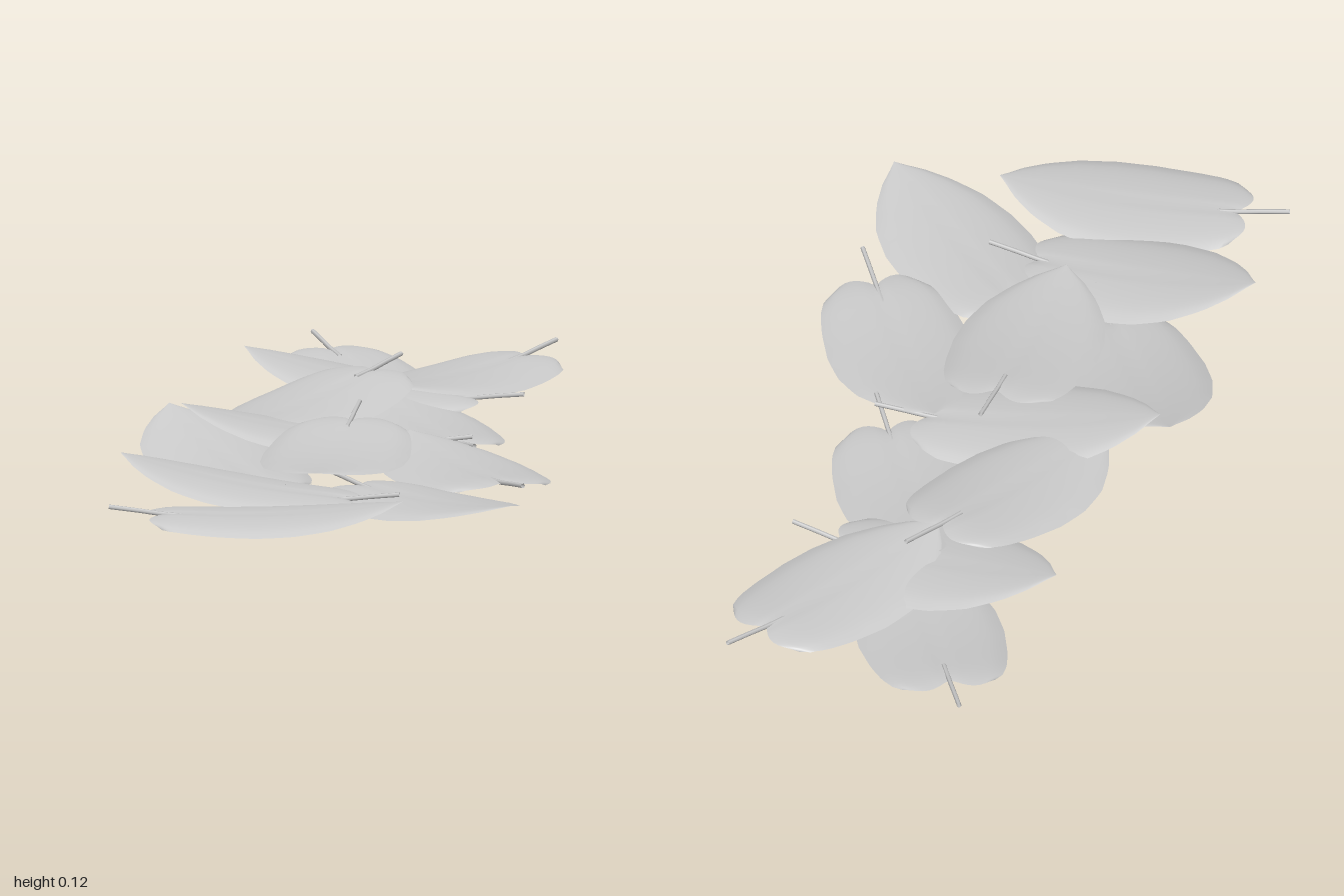
import * as THREE from 'three';

const ROWS = 28, COLS = 16, MAX_W = 0.157;

// Half width along the blade: [t, width]
const OUTLINE = [[0, 0.1], [0.03, 0.118], [0.1, 0.134], [0.22, 0.147], [0.4, 0.157], [0.55, 0.153],
  [0.7, 0.133], [0.83, 0.094], [0.92, 0.052], [0.97, 0.018], [1, 0]];

// Leaves: base x, z, y, then tip x, z, y
const LEAVES = [
  [-0.19, -0.9, 0.055, 0.04, -0.45, 0.03],
  [0.23, -0.84, 0.065, -0.02, -0.4, 0.08],
  [0.17, -0.48, 0.045, -0.33, -0.57, 0.118],
  [-0.04, -0.44, 0.108, -0.26, 0.02, 0.075],
  [0.19, -0.06, 0.035, -0.05, -0.49, 0.065],
  [0.12, 0, 0.045, -0.38, 0.04, 0.118],
  [-0.15, 0.44, 0.04, -0.41, 0.01, 0.112],
  [-0.015, 0.055, 0.104, -0.025, 0.545, 0.08],
  [0.355, 0.41, 0.05, 0.1, -0.02, 0.062],
  [0.06, 0.45, 0.045, 0.43, 0.8, 0.075],
  [0.05, 0.6, 0.045, -0.44, 0.55, 0.115],
  [-0.305, 0.865, 0.057, 0.2, 0.81, 0.08],
];

function halfWidth(t) {
  const i = Math.max(1, OUTLINE.findIndex((p) => p[0] >= t));
  const [t0, w0] = OUTLINE[i - 1], [t1, w1] = OUTLINE[i];
  return THREE.MathUtils.lerp(w0, w1, (t - t0) / (t1 - t0));
}

// Blade: notched base, pointed upturned tip, edges rolled down, creased midrib
function bladeGeometry(length, rise) {
  const pos = [], index = [];
  for (let r = 0; r <= ROWS; r++) {
    const u = r / ROWS;
    const t = u * u * (3 - 2 * u); // closer rows at both ends
    const w = halfWidth(t);
    for (let c = 0; c <= COLS; c++) {
      const s = (c / COLS) * 2 - 1, a = Math.abs(s);
      const lobe = 0.028 * Math.sin(Math.PI * Math.min(a, 1)) * Math.pow(1 - t, 10);
      const sag = 0.06 * t * (1 - t);
      const drop = (0.014 * a * a + 0.008 * Math.pow(a, 8)) * (w / MAX_W);
      const crease = a === 0 ? 0.003 * (1 - t) : 0;
      const heel = 0.007 * Math.pow(1 - t, 25);
      pos.push(s * w, rise * t - sag - drop - crease - heel, t * length - lobe);
      if (r < ROWS && c < COLS) {
        const i = r * (COLS + 1) + c, j = i + COLS + 1;
        index.push(i, j, i + 1, i + 1, j, j + 1);
      }
    }
  }
  const g = new THREE.BufferGeometry();
  g.setAttribute('position', new THREE.Float32BufferAttribute(pos, 3));
  g.setIndex(index);
  g.computeVertexNormals();
  return g;
}

// Stem: thin stalk leaving the notch and running a little way under the blade
function stemGeometry() {
  const path = new THREE.CatmullRomCurve3([
    new THREE.Vector3(0, 0.008, -0.115), new THREE.Vector3(0, 0, -0.05),
    new THREE.Vector3(0, -0.007, 0), new THREE.Vector3(0, -0.012, 0.06)]);
  return new THREE.TubeGeometry(path, 8, 0.005, 6, false);
}

export function createModel() {
  const model = new THREE.Group();
  model.name = 'leafPile';
  const material = new THREE.MeshStandardMaterial({ color: 0xcccccc, side: THREE.DoubleSide });
  const stemGeo = stemGeometry();

  LEAVES.forEach(([bx, bz, by, tx, tz, ty], n) => {
    const leaf = new THREE.Group();
    leaf.name = `leaf${n + 1}`;
    const blade = new THREE.Mesh(bladeGeometry(Math.hypot(tx - bx, tz - bz), ty - by), material);
    blade.name = 'blade';
    const stem = new THREE.Mesh(stemGeo, material);
    stem.name = 'stem';
    leaf.add(blade, stem);
    leaf.position.set(bx, by, bz);
    leaf.rotation.y = Math.atan2(tx - bx, tz - bz);
    model.add(leaf);
  });
  return model;
}
